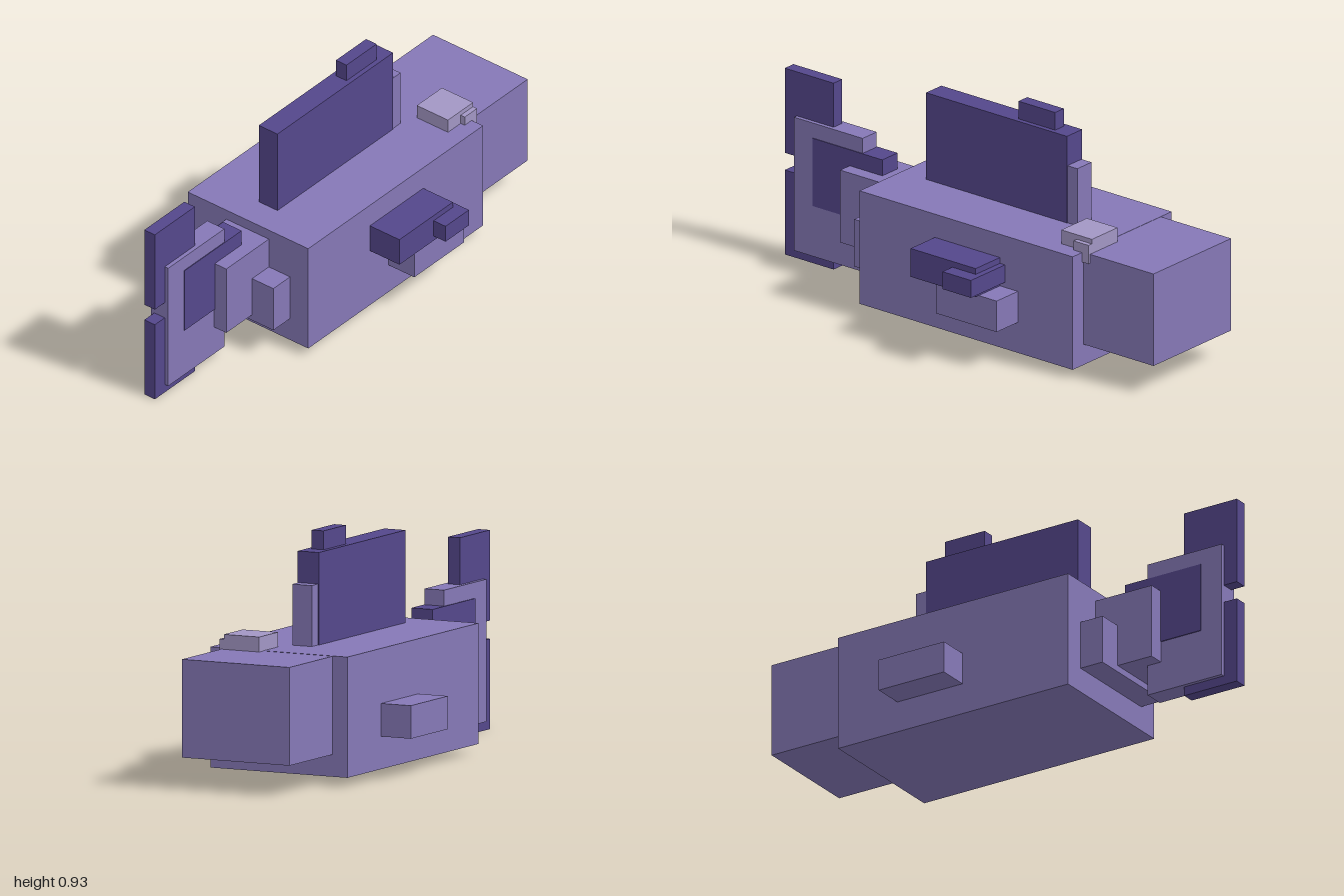
import * as THREE from 'three';

export function createModel() {
  const group = new THREE.Group();
  group.name = 'blockFish';

  const material = (name, color) => {
    const m = new THREE.MeshStandardMaterial({ color });
    m.name = name;
    return m;
  };
  const lilac = material('lilac skin', 0x8578b6);
  const purple = material('dark purple fin', 0x54478b);
  const pale = material('pale eye', 0xa296c4);

  // Box given by its extents along each axis
  const block = (name, mat, [x0, x1], [y0, y1], [z0, z1]) => {
    const mesh = new THREE.Mesh(new THREE.BoxGeometry(x1 - x0, y1 - y0, z1 - z0), mat);
    mesh.position.set((x0 + x1) / 2, (y0 + y1) / 2, (z0 + z1) / 2);
    mesh.name = name;
    group.add(mesh);
  };

  const finZ = [-0.08, 0.005];
  const darkFinZ = [-0.084, 0.008];
  const tipZ = [-0.064, -0.012];

  // Body and head
  block('body', lilac, [-0.405, 0.652], [0.035, 0.502], [-0.336, 0.26]);
  block('head', lilac, [0.6, 1], [0.121, 0.501], [-0.272, 0.196]);

  // Tail root, stepping down in width
  block('tailRoot', lilac, [-0.506, -0.4], [0.135, 0.33], [-0.25, 0.17]);
  block('tailStem', lilac, [-0.662, -0.4], [0.161, 0.46], [-0.145, 0.065]);

  // Tail fin with darker centre and two tips
  block('tailFin', lilac, [-0.94, -0.6], [0.037, 0.588], finZ);
  block('tailFinCentre', purple, [-0.846, -0.5], [0.246, 0.526], darkFinZ);
  block('upperTailTip', purple, [-1, -0.758], [0.42, 0.77], tipZ);
  block('lowerTailTip', purple, [-1, -0.758], [0, 0.349], tipZ);

  // Dorsal fin
  block('dorsalFinBase', lilac, [0, 0.465], [0.49, 0.738], finZ);
  block('dorsalFin', purple, [-0.283, 0.416], [0.49, 0.86], darkFinZ);
  block('dorsalTip', purple, [0.159, 0.341], [0.85, 0.933], tipZ);

  // Side fins: one bar through the body, dark fin on the front side
  block('sideFins', lilac, [0.08, 0.38], [0.161, 0.289], [-0.465, 0.388]);
  block('darkSideFin', purple, [-0.032, 0.291], [0.289, 0.406], [0.2, 0.406]);
  block('darkSideFinTip', purple, [0.175, 0.316], [0.31, 0.382], [0.2, 0.465]);

  // Eye: lid on top and a small block at its outer edge
  block('eyeLid', pale, [0.533, 0.685], [0.49, 0.559], [0.03, 0.184]);
  block('eye', pale, [0.61, 0.684], [0.463, 0.54], [0.15, 0.204]);

  return group;
}
